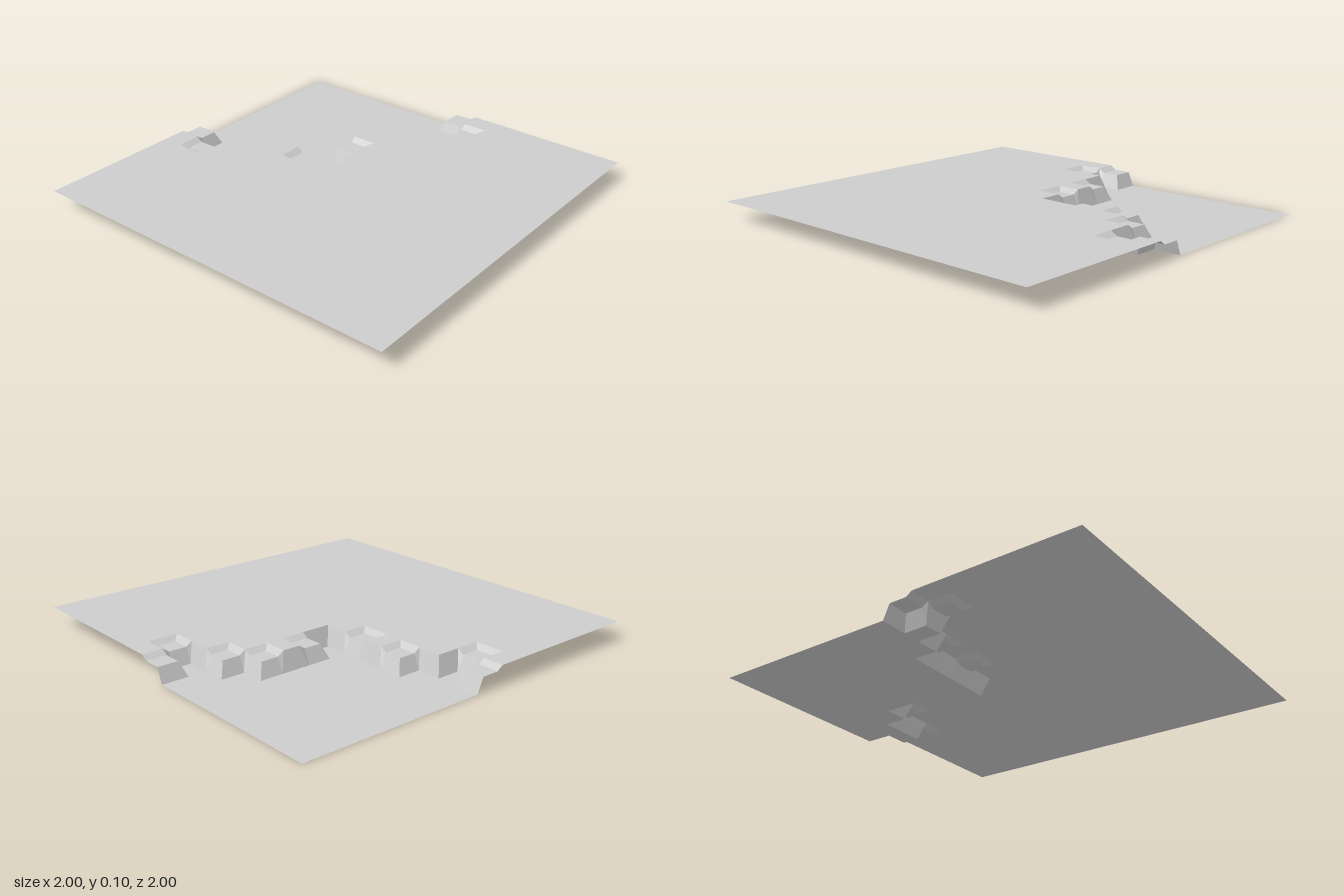
import * as THREE from 'three';

// Terrain tile: '.' low ground, 's' shallow shelf, everything else high ground
const MAP = [
  '........s',
  '.........s',
  '.......s',
  '......s',
  '......',
  '......s',
  '.......',
  '...s#s',
  's.',
  '#s',
];
const CELLS = 16;
const SIZE = 2 / CELLS;
const BEVEL = 0.016; // half the width of a slope
const LOW = 0, SHELF = 0.075, HIGH = 0.097;

function levelOf(col, row) {
  const mark = (MAP[row] || '')[col];
  return mark === '.' ? LOW : mark === 's' ? SHELF : HIGH;
}

// Every cell owns two lattice lines per axis, inset to leave room for slopes
function lineAt(i) {
  const edge = -1 + SIZE * ((i >> 1) + (i & 1));
  if (i === 0 || i === CELLS * 2 - 1) return edge;
  return edge + (i & 1 ? -BEVEL : BEVEL);
}

function pointAt(i, j) {
  return [lineAt(i), levelOf(i >> 1, j >> 1), lineAt(j)];
}

export function createModel() {
  const group = new THREE.Group();
  group.name = 'cliffTerrainTile';
  const stone = new THREE.MeshStandardMaterial({
    color: 0xcccccc, flatShading: true, side: THREE.DoubleSide,
  });
  stone.name = 'plain grey';

  const parts = { upperGround: [], lowerGround: [], shelfFloors: [], shelfSlopes: [], cliffFaces: [] };

  for (let j = 0; j < CELLS * 2 - 1; j++) {
    for (let i = 0; i < CELLS * 2 - 1; i++) {
      const a = pointAt(i, j), b = pointAt(i, j + 1);
      const c = pointAt(i + 1, j + 1), d = pointAt(i + 1, j);
      const heights = [a[1], b[1], c[1], d[1]];
      const min = Math.min(...heights), max = Math.max(...heights);
      // Flat pieces join their ground level, sloped ones the cliff or shelf rim
      let name;
      if (min === max) name = min === LOW ? 'lowerGround' : min === SHELF ? 'shelfFloors' : 'upperGround';
      else name = min === LOW ? 'cliffFaces' : 'shelfSlopes';
      // Split along the steeper diagonal so corners are mitred
      const triangles = Math.abs(a[1] - c[1]) >= Math.abs(b[1] - d[1])
        ? [a, b, c, a, c, d]
        : [a, b, d, b, c, d];
      parts[name].push(...triangles.flat());
    }
  }

  for (const [name, positions] of Object.entries(parts)) {
    const geometry = new THREE.BufferGeometry();
    geometry.setAttribute('position', new THREE.Float32BufferAttribute(positions, 3));
    geometry.computeVertexNormals();
    const mesh = new THREE.Mesh(geometry, stone);
    mesh.name = name;
    group.add(mesh);
  }
  return group;
}
